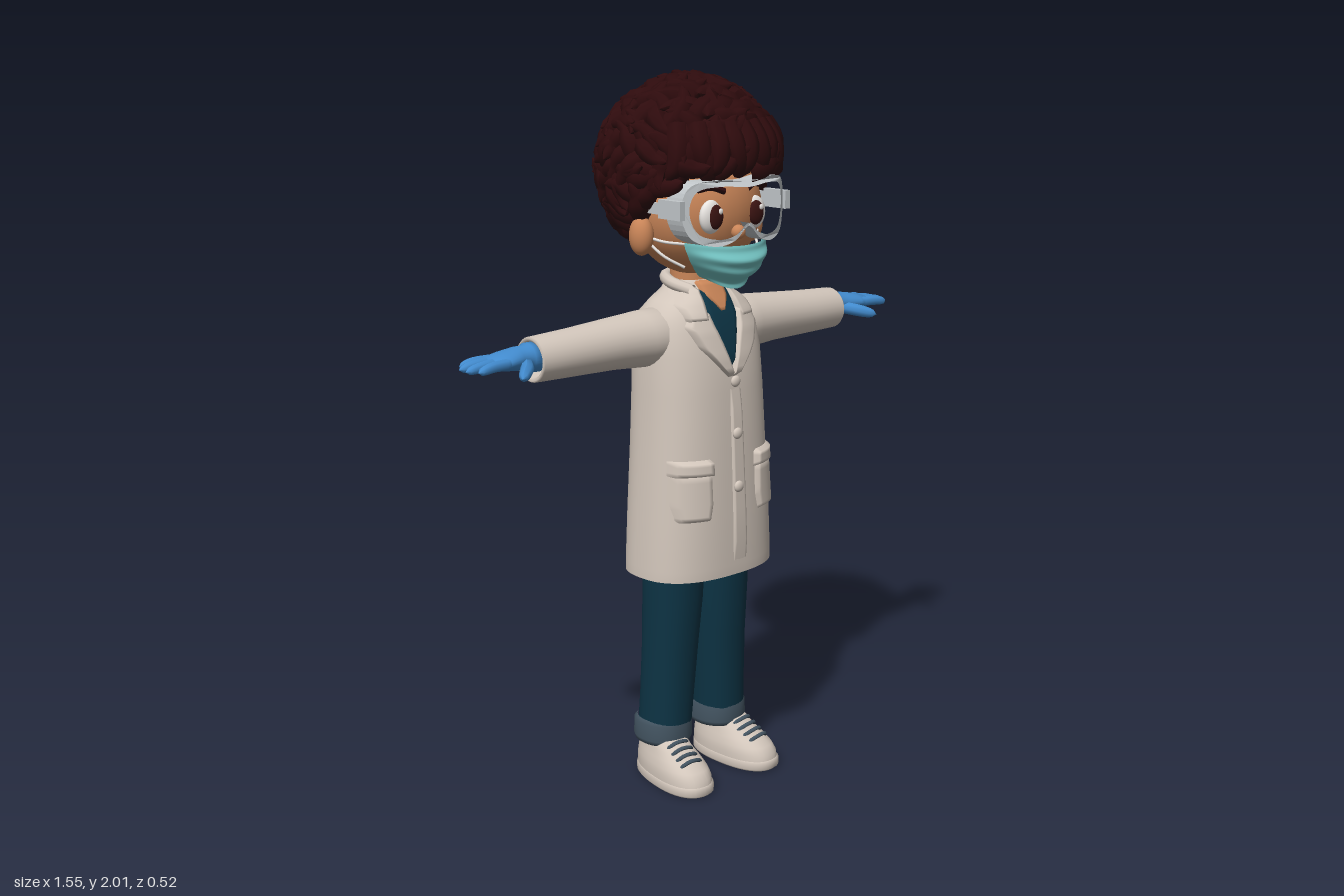
import * as THREE from 'three';

const V = (x, y, z) => new THREE.Vector3(x, y, z);
const lerp = THREE.MathUtils.lerp;

function mat(name, color, side = THREE.FrontSide) {
  const m = new THREE.MeshStandardMaterial({ color, side });
  m.name = name;
  return m;
}

// Smooth surface over an ni x nj grid; wrap closes each row into a ring
function grid(ni, nj, fn, wrap = false) {
  const pos = [], idx = [], cols = wrap ? nj : nj + 1;
  for (let i = 0; i <= ni; i++) for (let j = 0; j < cols; j++) pos.push(...fn(i, j));
  for (let i = 0; i < ni; i++) for (let j = 0; j < nj; j++) {
    const k = (j + 1) % cols;
    const a = i * cols + j, b = a + cols, c = i * cols + k, d = c + cols;
    idx.push(a, b, c, b, d, c);
  }
  const g = new THREE.BufferGeometry();
  g.setAttribute('position', new THREE.Float32BufferAttribute(pos, 3));
  g.setIndex(idx);
  g.computeVertexNormals();
  return g;
}

const sPow = (v, n) => Math.sign(v) * Math.pow(Math.abs(v), 2 / n);

// Upright loft, rows [y, cx, rx, cz, rz]
function loftY(rows, n = 2, seg = 36) {
  return grid(rows.length - 1, seg, (i, j) => {
    const [y, cx, rx, cz, rz] = rows[i], a = (j / seg) * Math.PI * 2;
    return [cx + rx * sPow(Math.cos(a), n), y, cz + rz * sPow(Math.sin(a), n)];
  }, true);
}

// Sideways loft, rows [x, cy, ry, cz, rz]
function loftX(rows, seg = 28) {
  return grid(rows.length - 1, seg, (i, j) => {
    const [x, cy, ry, cz, rz] = rows[i], a = (j / seg) * Math.PI * 2;
    return [x, cy + ry * Math.sin(a), cz + rz * Math.cos(a)];
  }, true);
}

// Tube through points that rounds off to a tip
function taper(points, r, power = 3, seg = 10, sides = 8) {
  const curve = new THREE.CatmullRomCurve3(points);
  const g = new THREE.TubeGeometry(curve, seg, r, sides, false);
  const p = g.attributes.position, v = V(0, 0, 0);
  for (let i = 0; i < p.count; i++) {
    const t = Math.floor(i / (sides + 1)) / seg;
    v.fromBufferAttribute(p, i).sub(curve.getPointAt(t)).multiplyScalar(Math.sqrt(Math.max(0, 1 - t ** power)));
    v.add(curve.getPointAt(t));
    p.setXYZ(i, v.x, v.y, v.z);
  }
  g.computeVertexNormals();
  return g;
}

const ball = (rx, ry, rz, x, y, z) => new THREE.SphereGeometry(1, 28, 20).scale(rx, ry, rz).translate(x, y, z);
const box = (w, h, d, x, y, z) => new THREE.BoxGeometry(w, h, d).translate(x, y, z);

function mirrored(geo) {
  const g = geo.clone().scale(-1, 1, 1), ix = g.index.array;
  for (let i = 0; i < ix.length; i += 3) [ix[i], ix[i + 1]] = [ix[i + 1], ix[i]];
  g.computeVertexNormals();
  return g;
}

// Coat body rows [y, half width, back z, front z]
const COAT = [
  [0.63, 0.22, -0.115, 0.196], [0.66, 0.22, -0.115, 0.197], [0.8, 0.213, -0.113, 0.194], [1.0, 0.2, -0.11, 0.186],
  [1.15, 0.193, -0.107, 0.178], [1.25, 0.19, -0.105, 0.167], [1.32, 0.183, -0.1, 0.15], [1.365, 0.165, -0.087, 0.132],
  [1.395, 0.13, -0.072, 0.115], [1.42, 0.09, -0.058, 0.098], [1.45, 0.068, -0.048, 0.078],
];
const COAT_N = 2.5;

function coatFront(x, y) {
  let i = 0;
  while (i < COAT.length - 2 && y > COAT[i + 1][0]) i++;
  const t = THREE.MathUtils.clamp((y - COAT[i][0]) / (COAT[i + 1][0] - COAT[i][0]), 0, 1);
  const [w, b, f] = [1, 2, 3].map(k => lerp(COAT[i][k], COAT[i + 1][k], t));
  const q = Math.min(1, Math.abs(x) / w);
  return (b + f) / 2 + ((f - b) / 2) * Math.pow(1 - q ** COAT_N, 1 / COAT_N);
}

// Padded cloth lying on the coat front, rows [y, x left, x right] from the top down
function drape(rows, lift) {
  const sub = 6, n = 10, ni = (rows.length - 1) * sub;
  return grid(ni, n, (i, j) => {
    const k = Math.min(rows.length - 2, Math.floor(i / sub)), t = i / sub - k;
    const [y, xa, xb] = [0, 1, 2].map(c => lerp(rows[k][c], rows[k + 1][c], t));
    const x = lerp(xa, xb, j / n), edge = j === 0 || j === n || i === 0 || i === ni;
    return [x, y, coatFront(x, y) + (edge ? -0.003 : lift)];
  });
}

export function createModel() {
  const model = new THREE.Group();
  const hair = mat('dark hair', 0x2e0b0d), skin = mat('skin', 0xc98558);
  const coat = mat('coat cream', 0xd2c6bb, THREE.DoubleSide), denim = mat('deep blue cloth', 0x0d3344);
  const turnup = mat('grey blue', 0x435461), glove = mat('glove blue', 0x428bce);
  const teal = mat('mask teal', 0x74c4c3, THREE.DoubleSide), frame = mat('goggle grey', 0xc2c7ca);
  const white = mat('eye white', 0xf2eeea), brown = mat('iris brown', 0x3b1412);

  const add = (name, geo, m) => {
    const mesh = new THREE.Mesh(geo, m);
    mesh.name = name;
    model.add(mesh);
  };
  const pair = (name, geo, m) => {
    add(name + 'Left', geo, m);
    add(name + 'Right', mirrored(geo), m);
  };

  // Head and face
  add('head', ball(0.19, 0.18, 0.165, 0, 1.64, 0.03), skin);
  add('nose', ball(0.02, 0.02, 0.02, 0, 1.59, 0.195), skin);
  add('neck', new THREE.CylinderGeometry(0.058, 0.062, 0.16, 28).translate(0, 1.44, 0.01), skin);
  pair('ear', ball(0.032, 0.053, 0.036, 0.203, 1.582, 0.035), skin);
  pair('eyeWhite', ball(0.038, 0.045, 0.02, 0.08, 1.635, 0.173), white);
  pair('iris', ball(0.027, 0.033, 0.012, 0.075, 1.635, 0.185), brown);
  for (const s of [-1, 1]) add('eyeGlint', ball(0.007, 0.008, 0.004, s * 0.075 + 0.01, 1.65, 0.196), white);
  pair('eyebrow', taper([V(0.04, 1.7, 0.183), V(0.08, 1.712, 0.172), V(0.12, 1.7, 0.155)], 0.009), hair);

  // Hair: rounded base drawn in at the face, covered with curled locks
  const C = V(0, 1.745, 0);
  const onFace = p => p.z > (p.y < 1.65 ? -0.06 + (p.y - 1.5) * 0.73 : 0.05 + (p.y - 1.65) * 1.6);
  const base = new THREE.SphereGeometry(0.228, 56, 40), bp = base.attributes.position, v = V(0, 0, 0);
  for (let i = 0; i < bp.count; i++) {
    v.fromBufferAttribute(bp, i);
    if (onFace(v.clone().add(C))) v.multiplyScalar(0.55);
    v.add(C);
    bp.setXYZ(i, v.x, v.y, v.z);
  }
  base.computeVertexNormals();
  add('hairBase', base, hair);
  let seed = 7;
  const rnd = () => (seed = (seed * 16807) % 2147483647) / 2147483647;
  const COUNT = 330;
  for (let i = 0; i < COUNT; i++) {
    const y = 1 - (2 * (i + 0.5)) / COUNT, a = i * 2.39996, h = Math.sqrt(1 - y * y);
    const d = V(h * Math.cos(a), y, h * Math.sin(a));
    const axis = V(rnd() - 0.5, rnd() - 0.5, rnd() - 0.5).cross(d).normalize();
    const twist = axis.clone().applyAxisAngle(d, 1.2);
    const at = (ang, r, curl) => d.clone().applyAxisAngle(axis, ang).applyAxisAngle(twist, curl).multiplyScalar(r).add(C);
    const tip = 0.252 + rnd() * 0.014;
    const pts = [at(-0.16, 0.205, 0), at(-0.02, 0.232, 0.02), at(0.14, 0.236, 0.08), at(0.2, tip, 0.2)];
    if (pts.some(onFace)) continue;
    add('hairLock', taper(pts, 0.026 + rnd() * 0.008, 2, 8, 7), hair);
  }
  for (let i = 0; i < 9; i++) {
    const x = (i - 4) * 0.043, z = Math.sqrt(0.05 - x * x), s = i % 2 ? 1 : -1;
    add('fringeLock', taper([V(x * 0.9, 1.87, z * 0.85), V(x, 1.82, z + 0.003), V(x + s * 0.012, 1.77, z + 0.006),
      V(x + s * 0.03, 1.735 + (i % 3) * 0.008, z - 0.012)], 0.034, 2.5), hair);
  }

  // Goggles: wrapped rim with open lenses, side hinges and strap
  const half = [[0, 1.728], [0.1, 1.735], [0.168, 1.72], [0.188, 1.66], [0.165, 1.585], [0.1, 1.562], [0.045, 1.575]];
  const outline = [...half, [0, 1.61], ...half.slice(1).reverse().map(([x, y]) => [-x, y])];
  const ring = k => new THREE.CatmullRomCurve3(outline.map(([x, y]) => V(x * (1 - k), 1.652 + (y - 1.652) * (1 - k * 2), 0)), true)
    .getPoints(72).slice(0, -1).map(p => new THREE.Vector2(p.x, p.y));
  const rim = new THREE.Shape(ring(0));
  rim.holes.push(new THREE.Path(ring(0.1)));
  const rimGeo = new THREE.ExtrudeGeometry(rim, { depth: 0.06, bevelEnabled: false, steps: 2 });
  const rp = rimGeo.attributes.position;
  for (let i = 0; i < rp.count; i++) rp.setZ(i, rp.getZ(i) + 0.175 - 1.7 * rp.getX(i) ** 2);
  rimGeo.computeVertexNormals();
  add('goggleRim', rimGeo, frame);
  pair('goggleHinge', box(0.018, 0.05, 0.085, 0.194, 1.66, 0.145), frame);
  pair('goggleStrap', box(0.01, 0.03, 0.1, 0.198, 1.66, 0.07), frame);

  // Pleated face mask with ear loops
  add('faceMask', grid(26, 32, (i, j) => {
    const t = i / 26, a = (j / 32 - 0.5) * 2.8, s = Math.sin(a), c = Math.cos(a);
    const w = lerp(0.146, 0.085, t ** 1.8);
    const bulge = 0.095 + 0.035 * Math.sin(Math.PI * Math.min(1, t * 1.1)) - 0.03 * t + 0.004 * Math.cos(t * Math.PI * 6);
    return [w * s, lerp(1.557, 1.437, t) + s * s * lerp(0.012, 0.035, t), 0.122 + bulge * c];
  }), teal);
  for (const y of [1.562, 1.5]) pair('maskLoop',
    taper([V(0.13, y, 0.125), V(0.175, lerp(y, 1.58, 0.4), 0.09), V(0.2, 1.585, 0.03)], 0.004, 20), white);

  // Coat body, collar and sleeves
  add('coatBody', loftY(COAT.map(([y, w, b, f]) => [y, 0, w, (b + f) / 2, (f - b) / 2]), COAT_N, 64), coat);
  add('shirt', drape([[1.43, -0.06, 0.06], [1.36, -0.058, 0.058], [1.215, -0.003, 0.003]], 0.008), denim);
  add('bareThroat', drape([[1.45, -0.05, 0.05], [1.41, -0.042, 0.042], [1.365, -0.002, 0.002]], 0.012), skin);
  pair('lapel', drape([[1.375, 0.053, 0.1], [1.335, 0.04, 0.128], [1.28, 0.02, 0.1], [1.19, -0.004, 0.012]], 0.016), coat);
  pair('collarLeaf', drape([[1.435, 0.05, 0.078], [1.39, 0.052, 0.125], [1.345, 0.06, 0.118]], 0.018), coat);
  add('collar', new THREE.TubeGeometry(new THREE.CatmullRomCurve3([V(0.066, 1.425, 0.085), V(0.08, 1.44, 0.02),
    V(0.05, 1.45, -0.04), V(0, 1.453, -0.055), V(-0.05, 1.45, -0.04), V(-0.08, 1.44, 0.02), V(-0.066, 1.425, 0.085)]),
  40, 0.017, 10), coat);
  add('placket', drape([[1.2, -0.012, 0.03], [0.632, -0.012, 0.045]], 0.006), coat);
  for (const y of [1.18, 1.035, 0.885]) add('button', ball(0.016, 0.016, 0.009, 0.004, y, coatFront(0, y) + 0.01), coat);
  pair('pocket', drape([[0.945, 0.08, 0.186], [0.85, 0.078, 0.19], [0.8, 0.09, 0.18]], 0.012), coat);
  pair('pocketFlap', drape([[0.975, 0.076, 0.188], [0.925, 0.074, 0.19]], 0.018), coat);
  pair('sleeve', loftX([[0.08, 1.3, 0.06, 0.02, 0.07], [0.14, 1.3, 0.08, 0.02, 0.085], [0.2, 1.3, 0.077, 0.016, 0.08],
    [0.3, 1.299, 0.07, 0.012, 0.073], [0.44, 1.295, 0.064, 0.011, 0.066], [0.56, 1.293, 0.06, 0.01, 0.06],
    [0.566, 1.293, 0.056, 0.01, 0.056], [0.56, 1.293, 0.048, 0.01, 0.048], [0.5, 1.293, 0.044, 0.01, 0.044]]), coat);

  // Gloved hands
  pair('palm', loftX([[0.54, 1.3, 0, 0.01, 0], [0.545, 1.3, 0.04, 0.01, 0.042], [0.575, 1.302, 0.038, 0.01, 0.042],
    [0.583, 1.302, 0.032, 0.01, 0.036], [0.61, 1.303, 0.031, 0.01, 0.041], [0.65, 1.302, 0.025, 0.01, 0.05],
    [0.69, 1.3, 0.018, 0.01, 0.049], [0.705, 1.298, 0, 0.01, 0]]), glove);
  [[-0.027, -0.038, 0.752], [-0.003, -0.008, 0.774], [0.022, 0.025, 0.777], [0.046, 0.056, 0.76]].forEach(([z0, z1, x]) =>
    pair('finger', taper([V(0.66, 1.302, z0), V(0.715, 1.301, (z0 + z1) / 2), V(x, 1.294, z1)], 0.0145, 6), glove));
  pair('thumb', taper([V(0.59, 1.293, 0.025), V(0.615, 1.286, 0.065), V(0.642, 1.278, 0.09), V(0.662, 1.272, 0.108)], 0.018, 5), glove);

  // Trousers with turned-up cuffs
  pair('trouserLeg', loftY([[0.12, 0.107, 0.072, 0.01, 0.077], [0.25, 0.1, 0.074, 0.016, 0.077], [0.4, 0.093, 0.078, 0.022, 0.079],
    [0.55, 0.088, 0.082, 0.028, 0.086], [0.72, 0.086, 0.084, 0.032, 0.09]], 2.2), denim);
  pair('trouserCuff', loftY([[0.12, 0.107, 0.06, 0.006, 0.06], [0.112, 0.107, 0.075, 0.006, 0.08], [0.125, 0.107, 0.079, 0.006, 0.085],
    [0.172, 0.107, 0.078, 0.006, 0.084], [0.182, 0.107, 0.07, 0.008, 0.076]], 2.2), turnup);

  // Shoes turned slightly outward, rows [y, half width, heel z, toe z]
  const shoe = rows => grid(rows.length - 1, 40, (i, j) => {
    const [y, w, b, f] = rows[i], a = (j / 40) * Math.PI * 2, s = sPow(Math.sin(a), 2.3);
    return [w * (0.91 + 0.09 * s) * sPow(Math.cos(a), 2.3), y, (b + f) / 2 + ((f - b) / 2) * s];
  }, true);
  const place = g => g.rotateY(0.1).translate(0.115, 0, 0);
  pair('sole', place(shoe([[0, 0, 0.06, 0.08], [0, 0.075, -0.076, 0.212], [0.006, 0.08, -0.08, 0.219],
    [0.026, 0.08, -0.08, 0.219], [0.03, 0.074, -0.076, 0.212]])), coat);
  pair('shoeUpper', place(shoe([[0.02, 0.076, -0.077, 0.214], [0.045, 0.077, -0.078, 0.21], [0.065, 0.073, -0.077, 0.194],
    [0.085, 0.066, -0.074, 0.165], [0.105, 0.058, -0.07, 0.128], [0.13, 0.052, -0.066, 0.095], [0.14, 0, 0, 0.05]])), coat);
  for (let k = 0; k < 4; k++) {
    const z = 0.098 + k * 0.021, y = 0.127 - k * 0.012;
    pair('lace', place(taper([V(-0.042, y - 0.022, z - 0.018), V(-0.018, y - 0.001, z + 0.002), V(0.018, y + 0.003, z + 0.006),
      V(0.042, y - 0.02, z - 0.012)], 0.0055, 20)), turnup);
  }
  return model;
}
